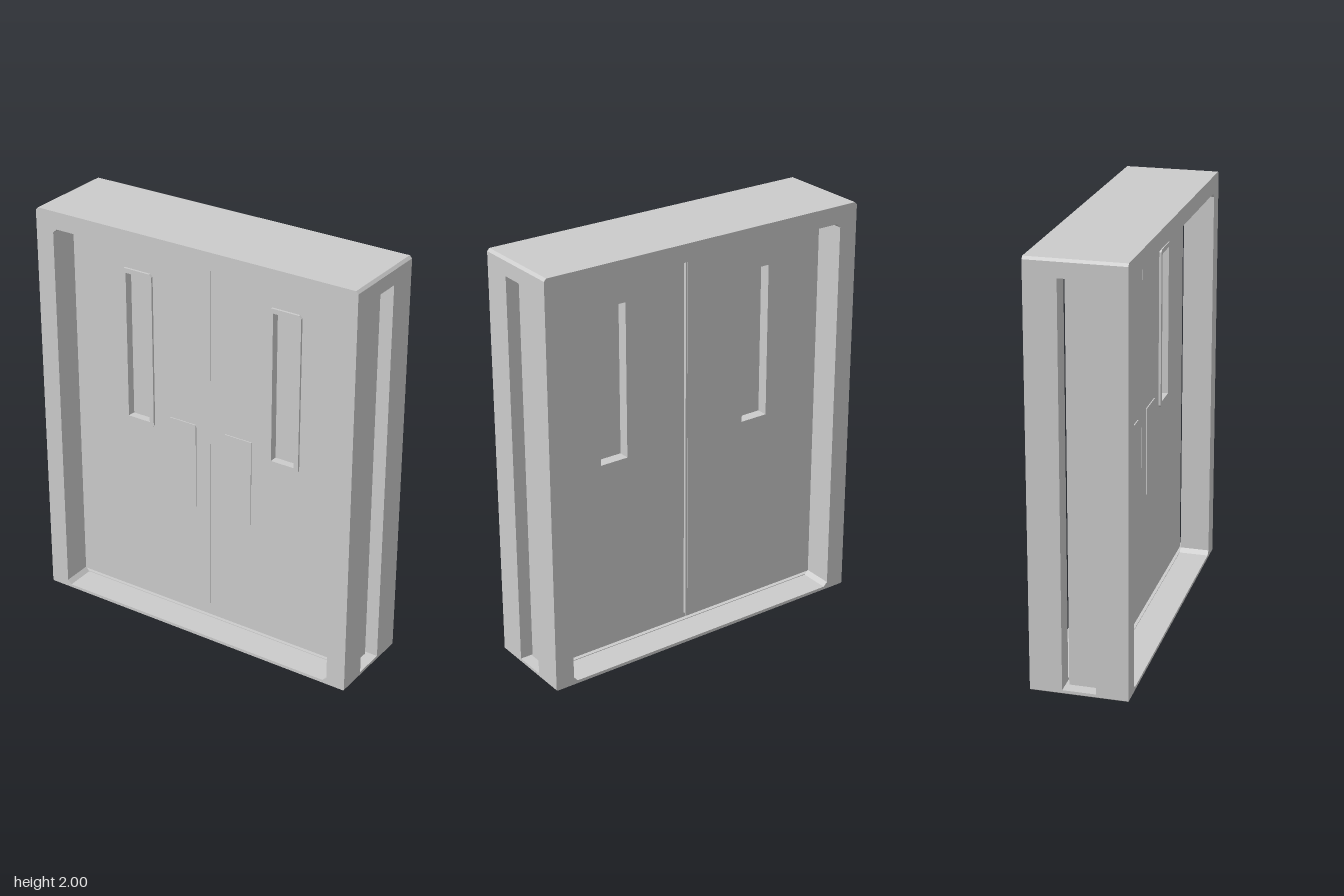
import * as THREE from 'three';

const grey = new THREE.MeshStandardMaterial({ color: 0xcccccc, flatShading: true });

// Rectangle outline with cut corners: top cut and bottom cut
function cutRect(x0, y0, x1, y1, top, bottom = top, Kind = THREE.Shape) {
  const pts = [
    [x0 + bottom, y0], [x1 - bottom, y0], [x1, y0 + bottom], [x1, y1 - top],
    [x1 - top, y1], [x0 + top, y1], [x0, y1 - top], [x0, y0 + bottom],
  ];
  return new Kind(pts.map(([x, y]) => new THREE.Vector2(x, y)));
}

function addMesh(parent, name, geometry) {
  const mesh = new THREE.Mesh(geometry, grey);
  mesh.name = name;
  parent.add(mesh);
  return mesh;
}

// Extrude an outline between two depths
function slab(parent, name, shape, z0, z1) {
  const geo = new THREE.ExtrudeGeometry(shape, { depth: z1 - z0, bevelEnabled: false });
  return addMesh(parent, name, geo.translate(0, 0, z0));
}

function box(parent, name, x0, x1, y0, y1, z0, z1) {
  const geo = new THREE.BoxGeometry(x1 - x0, y1 - y0, z1 - z0);
  return addMesh(parent, name, geo.translate((x0 + x1) / 2, (y0 + y1) / 2, (z0 + z1) / 2));
}

const W = 0.845, D = 0.227, SLOT_FRONT = 0.08, SLOT_BACK = -0.077;

// Surround: front and back halves joined by a header and sill, leaving slots in the jambs
function makeFrame() {
  const frame = new THREE.Group();
  frame.name = 'doorFrame';
  for (const [name, z0, z1] of [['frontFrame', SLOT_FRONT, D], ['backFrame', -D, SLOT_BACK]]) {
    const shape = cutRect(-W, 0, W, 2, 0.012, 0.004);
    shape.holes.push(cutRect(-0.75, 0.015, 0.75, 1.915, 0.02, 0.02, THREE.Path));
    slab(frame, name, shape, z0, z1);
  }
  slab(frame, 'header', cutRect(-W, 1.918, W, 2, 0.012, 0), SLOT_BACK, SLOT_FRONT);
  slab(frame, 'sill', cutRect(-W, 0, W, 0.018, 0, 0.004), SLOT_BACK, SLOT_FRONT);
  return frame;
}

// One sliding leaf on the given side (+1 is the model's left)
function makeDoor(side) {
  const door = new THREE.Group();
  door.name = side > 0 ? 'leftDoor' : 'rightDoor';
  const span = (a, b) => (side > 0 ? [a, b] : [-b, -a]);

  // Leaf with a window cut through it
  const [l0, l1] = span(0.001, 0.79);
  const [h0, h1] = span(0.327, 0.47);
  const leaf = cutRect(l0, 0.02, l1, 1.912, 0);
  leaf.holes.push(cutRect(h0, 0.968, h1, 1.725, 0, 0, THREE.Path));
  slab(door, 'doorLeaf', leaf, -0.06, 0.066);

  // Window trim and recessed pane
  const [t0, t1] = span(0.315, 0.482);
  const [i0, i1] = span(0.338, 0.459);
  const trim = cutRect(t0, 0.955, t1, 1.737, 0.012);
  trim.holes.push(cutRect(i0, 0.98, i1, 1.714, 0, 0, THREE.Path));
  slab(door, 'windowTrim', trim, 0.05, 0.077);
  box(door, 'windowPane', h0, h1, 0.968, 1.725, -0.005, 0.02);

  // Thin push plate on the front, seal along the meeting edge at the back
  box(door, 'pushPlate', ...span(0.08, 0.226), 0.6, 1.036, 0.06, 0.071);
  box(door, 'edgeSeal', ...span(0.001, 0.01), 0.045, 1.9, -0.074, -0.055);
  return door;
}

export function createModel() {
  const model = new THREE.Group();
  model.name = 'slidingDoubleDoor';
  model.add(makeFrame(), makeDoor(1), makeDoor(-1));
  return model;
}
